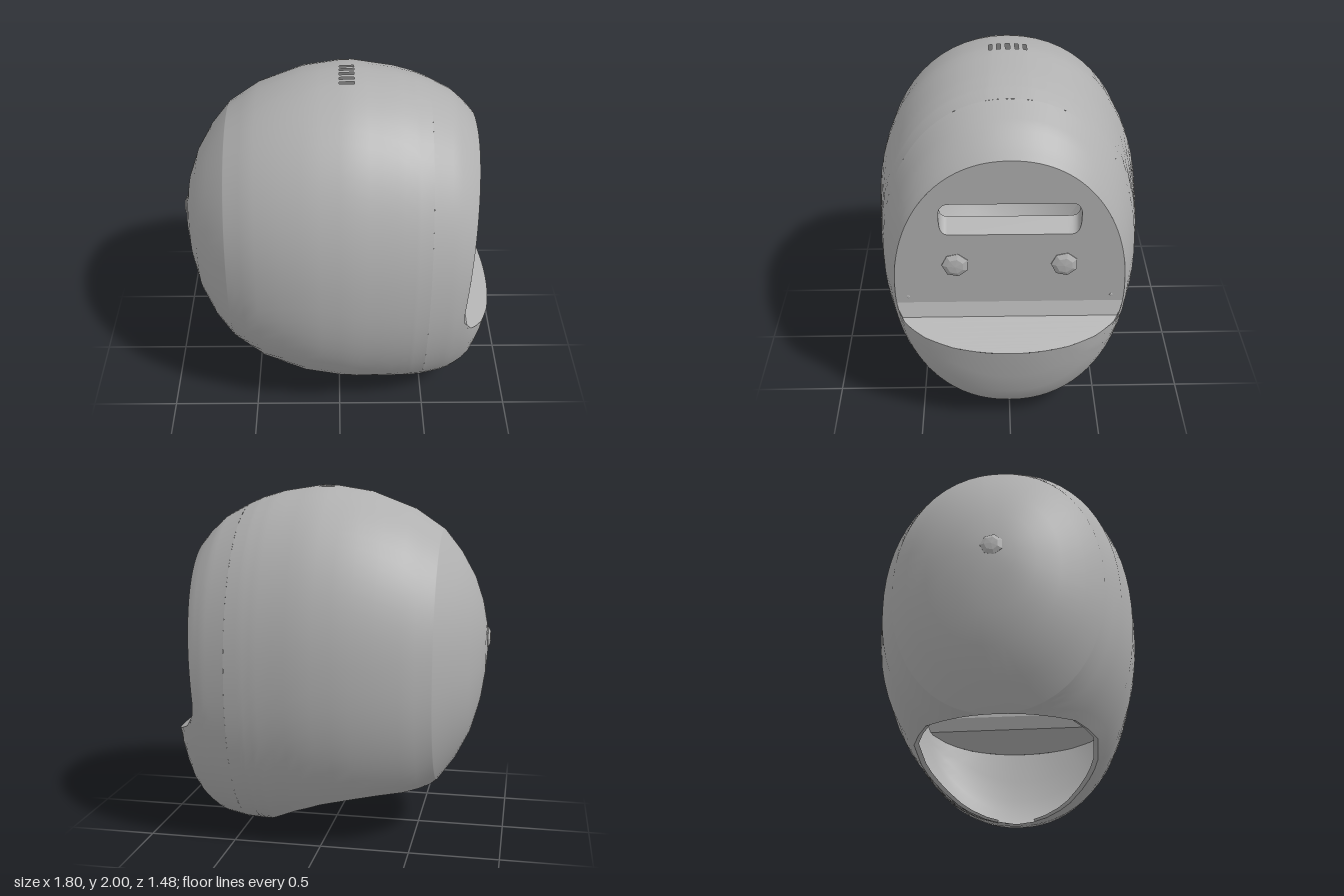
import * as THREE from 'three';
import { mergeVertices } from 'three/addons/utils/BufferGeometryUtils.js';

// Shell cross-sections along x: [x, top y, bottom y, half width]
const KEYS = [
  [-0.885, 1.1, 1.1, 0], [-0.875, 1.22, 0.95, 0.13], [-0.85, 1.35, 0.78, 0.23],
  [-0.8, 1.49, 0.6, 0.36], [-0.72, 1.63, 0.44, 0.48], [-0.62, 1.755, 0.3, 0.575],
  [-0.45, 1.87, 0.17, 0.665], [-0.2, 1.965, 0.06, 0.727], [0, 1.997, 0.02, 0.74],
  [0.08, 2, 0.01, 0.74], [0.3, 1.965, 0, 0.72], [0.42, 1.93, 0, 0.705],
  [0.49, 1.9, 0.004, 0.692], [0.63, 1.825, 0.03, 0.65], [0.71, 1.75, 0.085, 0.615],
  [0.76, 1.69, 0.135, 0.58], [0.82, 1.58, 0.25, 0.5], [0.87, 1.42, 0.42, 0.39],
  [0.905, 1.2, 0.6, 0.26], [0.94, 0.95, 0.9, 0],
];
// Neck opening, y over x
const NECK = [[-0.62, 0.3], [-0.4, 0.315], [-0.2, 0.295], [0, 0.245], [0.15, 0.18],
  [0.27, 0.11], [0.36, 0.04], [0.41, 0]];
// Face cut, x over y: sloping chin ledge, then the nearly upright plate
const CUT = [[0, 1.86], [0.59, 0.9], [0.7, 0.72], [0.78, 0.69], [1.69, 0.76], [2, 0.784]];
const E = 0.93; // roundness exponent of the sections

function lookup(table, t, k = 1) {
  let i = 0;
  while (i < table.length - 2 && t > table[i + 1][0]) i++;
  const [a, b] = [table[i], table[i + 1]];
  const f = THREE.MathUtils.clamp((t - a[0]) / (b[0] - a[0]), 0, 1);
  return a[k] + (b[k] - a[k]) * f;
}

function section(x) {
  const top = lookup(KEYS, x, 1), bottom = lookup(KEYS, x, 2);
  return { c: (top + bottom) / 2, h: (top - bottom) / 2, w: lookup(KEYS, x, 3) };
}

// Point on the shell; the angle starts at the crown and runs towards +z
function shellPoint(x, angle) {
  const { c, h, w } = section(x);
  const bend = (v) => Math.sign(v) * Math.abs(v) ** E;
  return [x, c + h * bend(Math.cos(angle)), w * bend(Math.sin(angle))];
}

const cutX = (y) => lookup(CUT, y);

function bisect(f, lo, hi) {
  for (let i = 0; i < 40; i++) {
    const mid = (lo + hi) / 2;
    if (f(mid) > 0) hi = mid; else lo = mid;
  }
  return lo;
}

// Surface through rows of points, with optional skipped cells
function grid(rows, skip = () => false) {
  const n = rows[0].length, index = [];
  for (let i = 0; i < rows.length - 1; i++) {
    for (let j = 0; j < n - 1; j++) {
      if (skip(i, j)) continue;
      const a = i * n + j, b = a + 1, c = a + n, d = c + 1;
      index.push(a, b, c, b, d, c);
    }
  }
  let g = new THREE.BufferGeometry();
  g.setAttribute('position', new THREE.Float32BufferAttribute(rows.flat(2), 3));
  g.setIndex(index);
  g = mergeVertices(g, 1e-5);
  g.computeVertexNormals();
  return g;
}

// Half of the arc kept at x, reduced where the neck opening cuts the section
function arcAt(x) {
  if (x <= -0.62 || x >= 0.41) return Math.PI;
  const { c, h } = section(x);
  const q = (lookup(NECK, x) - c) / h;
  return q <= -1 ? Math.PI : Math.acos(-(Math.abs(q) ** (1 / E)));
}

export function createModel() {
  const model = new THREE.Group();
  const grey = new THREE.MeshStandardMaterial({ color: 0xb0b0b0, side: THREE.DoubleSide });
  grey.name = 'grey';
  const add = (name, geometry) => {
    const mesh = new THREE.Mesh(geometry, grey);
    mesh.name = name;
    model.add(mesh);
    return mesh;
  };

  // Rear shell with five vent slits in the crown
  const slits = [-2, -1, 0, 1, 2].flatMap((k) => [k * 0.022 - 0.005, k * 0.022 + 0.005]);
  const us = [...slits];
  for (let i = -24; i <= 24; i++) if (Math.abs(i) > 1) us.push(i / 24);
  us.sort((a, b) => a - b);
  const xs = KEYS.map((k) => k[0]).filter((x) => x < 0.5);
  xs.push(-0.617, -0.605, -0.58, -0.53, -0.32, -0.1, 0.15, 0.22, 0.34, 0.38, 0.4);
  xs.sort((a, b) => a - b);
  const rear = xs.map((x) => us.map((u) => shellPoint(x, u * arcAt(x))));
  const ventRow = xs.indexOf(0);
  add('rearShell', grid(rear, (i, j) => i === ventRow && slits.indexOf(us[j]) % 2 === 0));

  // Lip turned inwards along the neck opening
  const neckXs = xs.filter((x) => x >= -0.62 && x <= 0.41);
  for (const side of [-1, 1]) {
    const rim = neckXs.map((x) => shellPoint(x, side * arcAt(x)));
    add('neckLip', grid([rim, rim.map(([x, y, z]) => [x * 0.97, y + 0.012, z * 0.95])]));
  }

  // Front shell: meridians from the seam to the face cut
  const meridians = [];
  for (let j = 0; j <= 72; j++) {
    const angle = (j / 72) * Math.PI * 2;
    const end = bisect((x) => x - cutX(shellPoint(x, angle)[1]), 0.49, 0.94);
    const line = [];
    for (let i = 0; i <= 10; i++) line.push(shellPoint(0.49 + (end - 0.49) * i / 10, angle));
    meridians.push(line);
  }
  add('frontShell', grid(meridians));

  // Half width of the face opening at height y
  const halfWidth = (y) => {
    const { c, h, w } = section(cutX(y));
    const q = Math.min(1, Math.abs((y - c) / h));
    return w * (1 - q ** (2 / E)) ** (E / 2);
  };
  const faceTop = bisect((y) => y - section(cutX(y)).c - section(cutX(y)).h, 1.3, 1.8);
  const faceBottom = bisect((y) => y - section(cutX(y)).c + section(cutX(y)).h, 0.5, 0.7);

  // Viewing slot outlines: the floor slopes up towards the inside
  const slot = (floor, depth) => {
    const pts = [];
    for (let i = 0; i <= 32; i++) {
      const a = (i / 32) * Math.PI * 2;
      const s = Math.sin(a), cs = Math.cos(a);
      const y = 1.36 + (s > 0 ? 0.07 * s : (1.36 - floor) * -(Math.abs(s) ** 0.6));
      const z = Math.sign(cs) * (0.3 + 0.07 * Math.abs(cs) ** 0.6);
      pts.push([cutX(y) - depth, y, z]);
    }
    return pts;
  };
  const slotOuter = slot(1.235, 0);
  add('slotWall', grid([slotOuter, slot(1.29, 0.1)]));

  // Face plate with the slot cut out
  const right = [], left = [];
  for (let i = 0; i <= 32; i++) {
    const y = 0.78 + (faceTop - 0.78) * Math.sin((i / 32) * Math.PI / 2);
    right.push(new THREE.Vector2(halfWidth(y), y));
    if (i < 32) left.unshift(new THREE.Vector2(-halfWidth(y), y));
  }
  const shape = new THREE.Shape([...right, ...left]);
  shape.holes.push(new THREE.Path(slotOuter.slice(0, -1).map(([, y, z]) => new THREE.Vector2(-z, y))));
  const plate = new THREE.ShapeGeometry(shape);
  const p = plate.attributes.position;
  for (let i = 0; i < p.count; i++) p.setXYZ(i, cutX(p.getY(i)), p.getY(i), -p.getX(i));
  plate.computeVertexNormals();
  add('facePlate', plate);

  // Chin ledge: a short bend and the slope below it
  const ledge = (name, y0, y1, steps) => {
    const rows = [];
    for (let i = 0; i <= steps; i++) {
      const y = y0 + (y1 - y0) * (i / steps) ** 2;
      rows.push([[cutX(y), y, halfWidth(y)], [cutX(y), y, -halfWidth(y)]]);
    }
    add(name, grid(rows.reverse()));
  };
  ledge('ledgeBend', 0.7, 0.78, 2);
  ledge('chinLedge', faceBottom, 0.7, 12);

  // Faceted bolts on the face and one at the back
  const profile = [[0.072, -0.02], [0.072, 0.008], [0.045, 0.022], [0, 0.026]]
    .map(([r, h]) => new THREE.Vector2(r, h));
  const boltGeometry = new THREE.LatheGeometry(profile, 7).toNonIndexed();
  boltGeometry.computeVertexNormals();
  boltGeometry.rotateZ(-Math.PI / 2);
  for (const z of [-0.29, 0.29]) add('faceBolt', boltGeometry).position.set(cutX(1.04), 1.04, z);
  const back = add('backBolt', boltGeometry);
  back.rotation.y = Math.PI;
  back.position.set(-0.877, 1.14, 0);
  back.scale.setScalar(0.85);

  // Small rivets at the lower corners of the plate
  for (const z of [-0.55, 0.55]) {
    const rivet = add('rivet', boltGeometry);
    rivet.scale.setScalar(0.14);
    rivet.position.set(cutX(0.82), 0.82, z);
  }
  return model;
}
